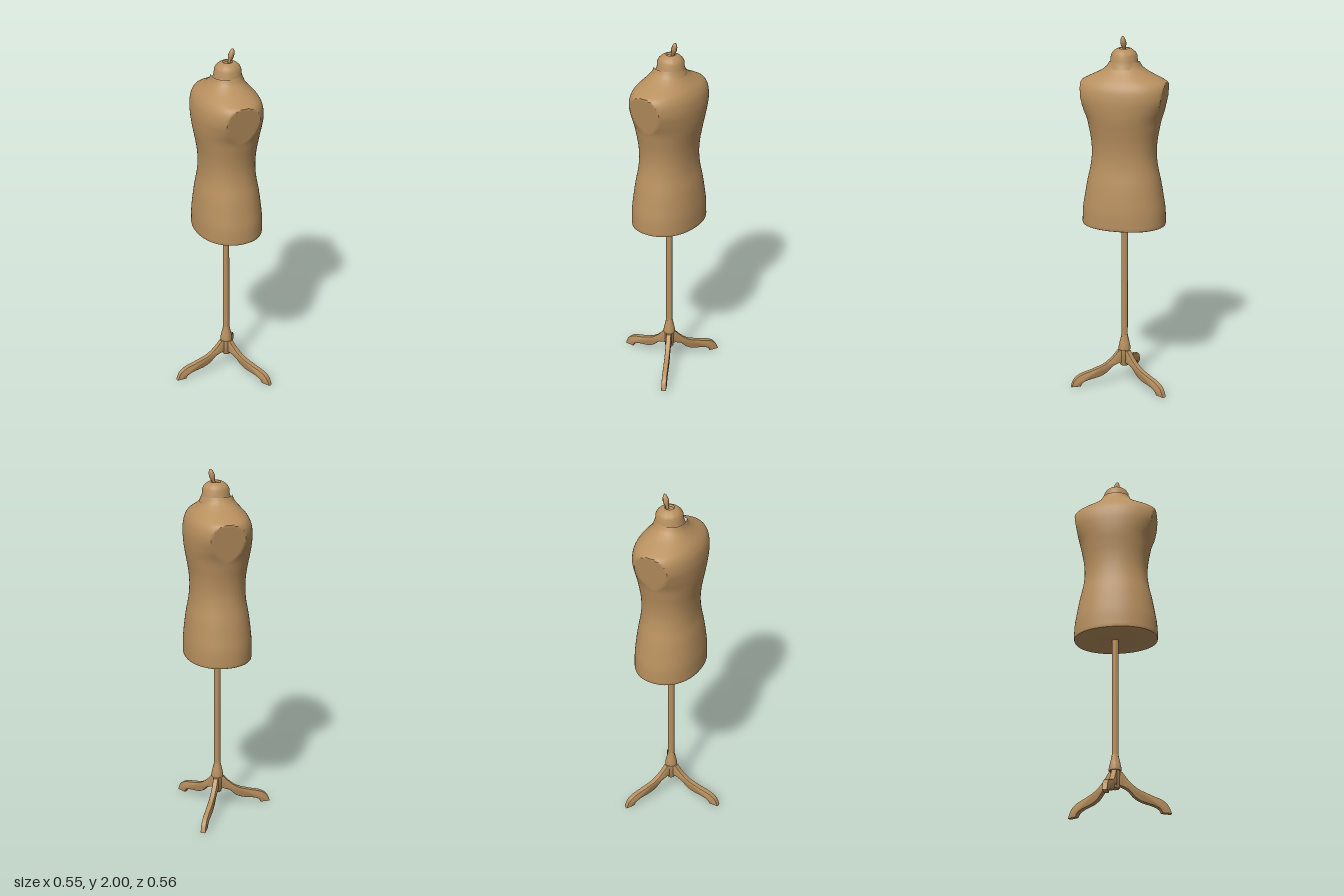
import * as THREE from 'three';
import { toCreasedNormals } from 'three/addons/utils/BufferGeometryUtils.js';

const tan = new THREE.MeshStandardMaterial({ color: 0xb8905f });
tan.name = 'tan';

const POLE_X = -0.045, POLE_Z = 0.01;

function mesh(name, geometry, x = 0, y = 0, z = 0) {
  const m = new THREE.Mesh(geometry, tan);
  m.name = name;
  m.position.set(x, y, z);
  return m;
}

function lathe(points, segments = 32) {
  const g = new THREE.LatheGeometry(points.map(([r, y]) => new THREE.Vector2(r, y)), segments);
  return toCreasedNormals(g, 0.7);
}

// Torso: oval sections lofted upward, with the arm ends cut flat
function torsoGeometry() {
  // half width, height, half depth
  const sections = [
    [0.232, 0.968, 0.183], [0.228, 1.05, 0.182], [0.217, 1.12, 0.176], [0.203, 1.2, 0.166],
    [0.184, 1.29, 0.151], [0.177, 1.36, 0.147], [0.181, 1.43, 0.151], [0.193, 1.5, 0.162],
    [0.204, 1.55, 0.171], [0.23, 1.61, 0.177], [0.252, 1.67, 0.177], [0.252, 1.72, 0.168],
    [0.237, 1.75, 0.154], [0.208, 1.768, 0.141], [0.168, 1.787, 0.124], [0.128, 1.808, 0.105],
    [0.094, 1.835, 0.086], [0.08, 1.86, 0.077],
  ].map((s) => new THREE.Vector3(...s));
  const rows = [[0.0001, 0.955, 0.0001], [0.222, 0.955, 0.173], [0.23, 0.959, 0.181]];
  const curve = new THREE.CatmullRomCurve3(sections);
  for (const p of curve.getSpacedPoints(90)) rows.push([p.x, p.y, p.z]);

  const n = 96, pos = [], index = [];
  const power = (v) => Math.sign(v) * Math.abs(v) ** 0.92;
  rows.forEach(([a, y, b], j) => {
    const limit = y > 1.55 ? 0.203 + (y - 1.55) * 0.15 : 1;
    for (let i = 0; i < n; i++) {
      const t = (i / n) * Math.PI * 2;
      const x = a * power(Math.cos(t));
      pos.push(THREE.MathUtils.clamp(x, -limit, limit), y, b * power(Math.sin(t)));
      if (j === rows.length - 1) continue;
      const p = j * n + i, q = j * n + ((i + 1) % n);
      index.push(p, p + n, q, q, p + n, q + n);
    }
  });
  const g = new THREE.BufferGeometry();
  g.setAttribute('position', new THREE.Float32BufferAttribute(pos, 3));
  g.setIndex(index);
  return toCreasedNormals(g, 0.6);
}

// Leg: curved side outline with rounded edges, running out along +x
function legGeometry() {
  const v = (list) => list.map(([x, y]) => new THREE.Vector2(x, y));
  const s = new THREE.Shape();
  s.moveTo(0.012, 0.198);
  s.lineTo(0.035, 0.195);
  s.splineThru(v([[0.07, 0.155], [0.12, 0.116], [0.19, 0.09], [0.255, 0.07], [0.292, 0.044], [0.311, 0.004]]));
  s.lineTo(0.264, 0.004);
  s.splineThru(v([[0.25, 0.024], [0.215, 0.039], [0.15, 0.053], [0.11, 0.073], [0.075, 0.106], [0.035, 0.124]]));
  s.lineTo(0.012, 0.124);
  s.closePath();
  const g = new THREE.ExtrudeGeometry(s, {
    depth: 0.014, curveSegments: 30, bevelThickness: 0.007, bevelSize: 0.004, bevelSegments: 3,
  });
  g.translate(0, 0, -0.007);
  return toCreasedNormals(g, 0.6);
}

export function createModel() {
  const model = new THREE.Group();
  model.name = 'dressForm';

  const torso = mesh('torso', torsoGeometry(), POLE_X + 0.003, 0, POLE_Z);
  torso.rotation.y = -Math.PI / 6;
  model.add(torso);

  // Neck with a dished cap
  model.add(mesh('neck', lathe([
    [0.088, 1.825], [0.08, 1.845], [0.073, 1.865], [0.071, 1.893], [0.063, 1.908], [0.05, 1.92],
    [0.034, 1.93], [0.026, 1.929], [0.02, 1.922], [0, 1.92],
  ], 40), -0.038, 0, 0.002));

  // Leaning spindle on the cap
  const finial = mesh('finial', lathe([
    [0, 0], [0.009, 0], [0.009, 0.015], [0.014, 0.028], [0.016, 0.042],
    [0.014, 0.058], [0.009, 0.072], [0.004, 0.079], [0, 0.081],
  ], 20), -0.036, 1.92, -0.008);
  finial.rotation.set(-0.2, 0, -0.18);
  model.add(finial);

  // Pole, flared collar and hub
  model.add(mesh('pole', lathe([[0.018, 0.26], [0.018, 0.957]], 24), POLE_X, 0, POLE_Z));
  model.add(mesh('collar', lathe([
    [0, 0.203], [0.034, 0.203], [0.034, 0.215], [0.029, 0.24], [0.022, 0.27], [0.018, 0.292],
  ]), POLE_X, 0, POLE_Z));
  model.add(mesh('hub', lathe([[0, 0.105], [0.022, 0.105], [0.025, 0.11], [0.025, 0.205]]), POLE_X, 0, POLE_Z));

  // Three curved legs
  const legShape = legGeometry();
  for (let i = 0; i < 3; i++) {
    const leg = mesh('leg' + (i + 1), legShape, POLE_X, 0, POLE_Z);
    leg.rotation.y = (i * Math.PI * 2) / 3;
    model.add(leg);
  }
  return model;
}
